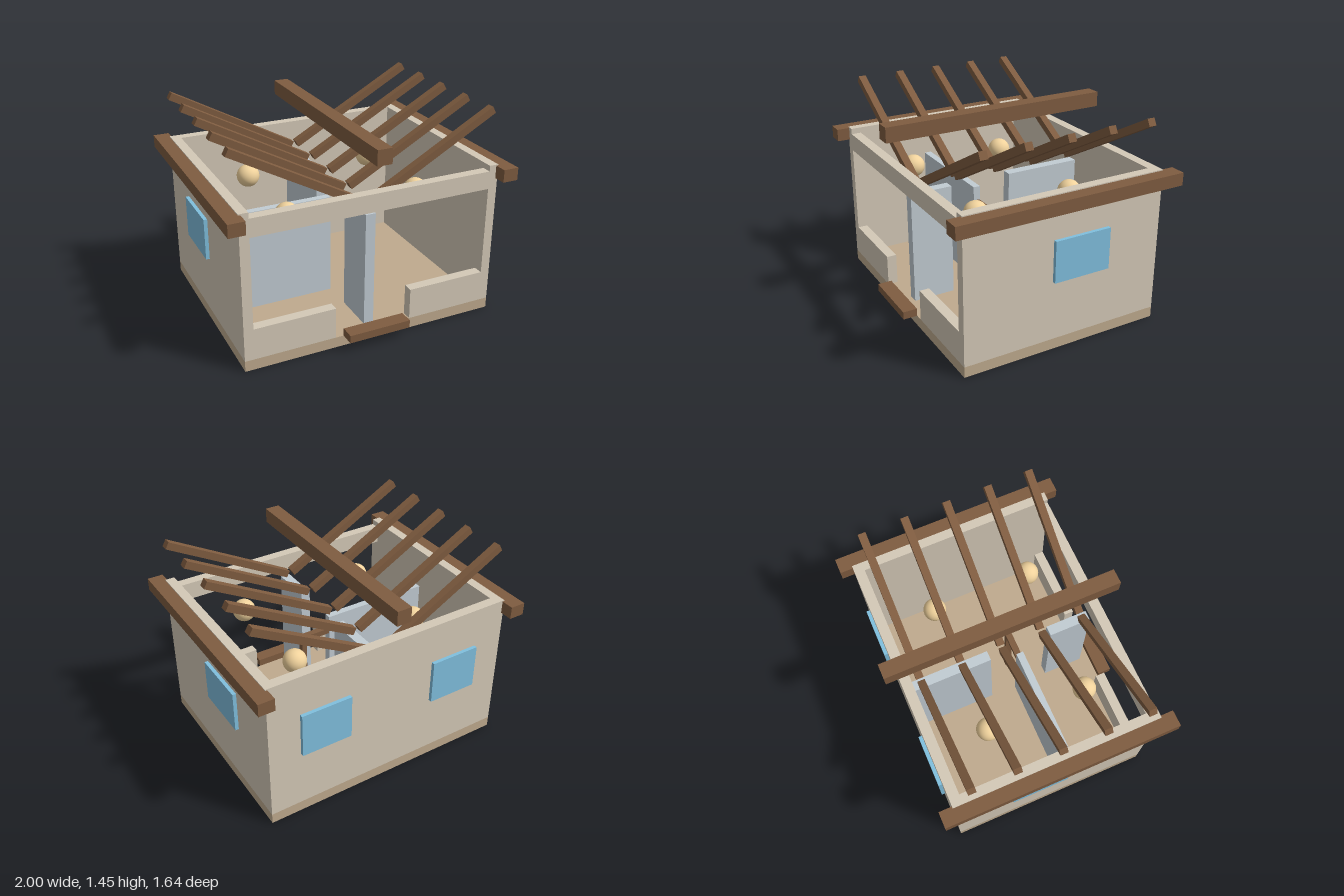
import * as THREE from 'three';

const paint = (color) => new THREE.MeshStandardMaterial({ color });

export function createModel() {
  const model = new THREE.Group();
  model.name = 'house';
  const wall = paint(0xd4c9b7), slab = paint(0xbfaa8e), wood = paint(0x7f5c40);
  const glass = paint(0x80bfde), panel = paint(0xc2ccd3), lampMat = paint(0xf0d29c);

  // Box given by its [min, max] range along each axis
  function box(name, mat, [x0, x1], [y0, y1], [z0, z1]) {
    const mesh = new THREE.Mesh(new THREE.BoxGeometry(x1 - x0, y1 - y0, z1 - z0), mat);
    mesh.position.set((x0 + x1) / 2, (y0 + y1) / 2, (z0 + z1) / 2);
    mesh.name = name;
    model.add(mesh);
    return mesh;
  }
  // Range mirrored to the chosen side of x = 0
  const side = (s, a, b) => (s > 0 ? [a, b] : [-b, -a]);

  // Floor slab, back wall, front lintel and doorstep
  box('floor', slab, [-0.905, 0.905], [0, 0.075], [-0.73, 0.72]);
  box('backWall', wall, [-0.84, 0.84], [0.075, 1.09], [-0.73, -0.66]);
  box('frontLintel', wall, [-0.84, 0.84], [0.925, 1.05], [0.65, 0.72]);
  box('doorstep', wood, [-0.22, 0.22], [0.075, 0.13], [0.72, 0.82]);

  // Inner partitions
  box('frontPartition', panel, [-0.035, 0.035], [0.075, 0.88], [0.35, 0.65]);
  box('backPartition', panel, [-0.035, 0.035], [0.075, 0.88], [-0.66, -0.1]);
  box('crossPartition', panel, [-0.84, -0.04], [0.075, 0.8], [0.09, 0.14]);

  // Inner door frame, set against the cross partition
  box('doorFrameHeader', wood, [-0.04, 0.18], [0.66, 0.7], [0.095, 0.14]);
  box('doorFramePost', wood, [0.145, 0.18], [0.075, 0.66], [0.095, 0.14]);

  // Roof ridge
  box('ridgeBeam', wood, [-0.052, 0.052], [1.27, 1.375], [-0.82, 0.81]);

  const lampGeo = new THREE.SphereGeometry(0.08, 32, 20);
  const slope = 0.503, inner = [0.02, 0.938], outer = [0.918, 1.432];
  const rafterLength = Math.hypot(outer[0] - inner[0], outer[1] - inner[1]);
  const rafterGeo = new THREE.BoxGeometry(rafterLength, 0.052, 0.053);

  for (const s of [1, -1]) {
    // Side and low front walls
    box('sideWall', wall, side(s, 0.84, 0.905), [0.075, 1.09], [-0.73, 0.72]);
    box('lowFrontWall', wall, side(s, 0.275, 0.84), [0.075, 0.295], [0.65, 0.72]);

    // Windows
    box('sideWindow', glass, side(s, 0.9, 0.93), [0.495, 0.785], [-0.32, 0.09]);
    box('backWindow', glass, side(s, 0.32, 0.68), [0.49, 0.805], [-0.755, -0.725]);

    // Eave beam and sloping rafters
    box('eaveBeam', wood, side(s, 0.89, 1), [0.995, 1.083], [-0.82, 0.81]);
    for (let i = -2; i <= 2; i++) {
      const rafter = new THREE.Mesh(rafterGeo, wood);
      rafter.name = 'rafter';
      rafter.position.set(s * (inner[0] + outer[0]) / 2, (inner[1] + outer[1]) / 2, i * 0.296 - 0.005);
      rafter.rotation.z = s * slope;
      model.add(rafter);
    }

    // Hanging globe lamps
    for (const z of [-0.31, 0.4]) {
      const lamp = new THREE.Mesh(lampGeo, lampMat);
      lamp.name = 'lamp';
      lamp.position.set(s * 0.472, 0.868, z);
      model.add(lamp);
    }
  }
  return model;
}
